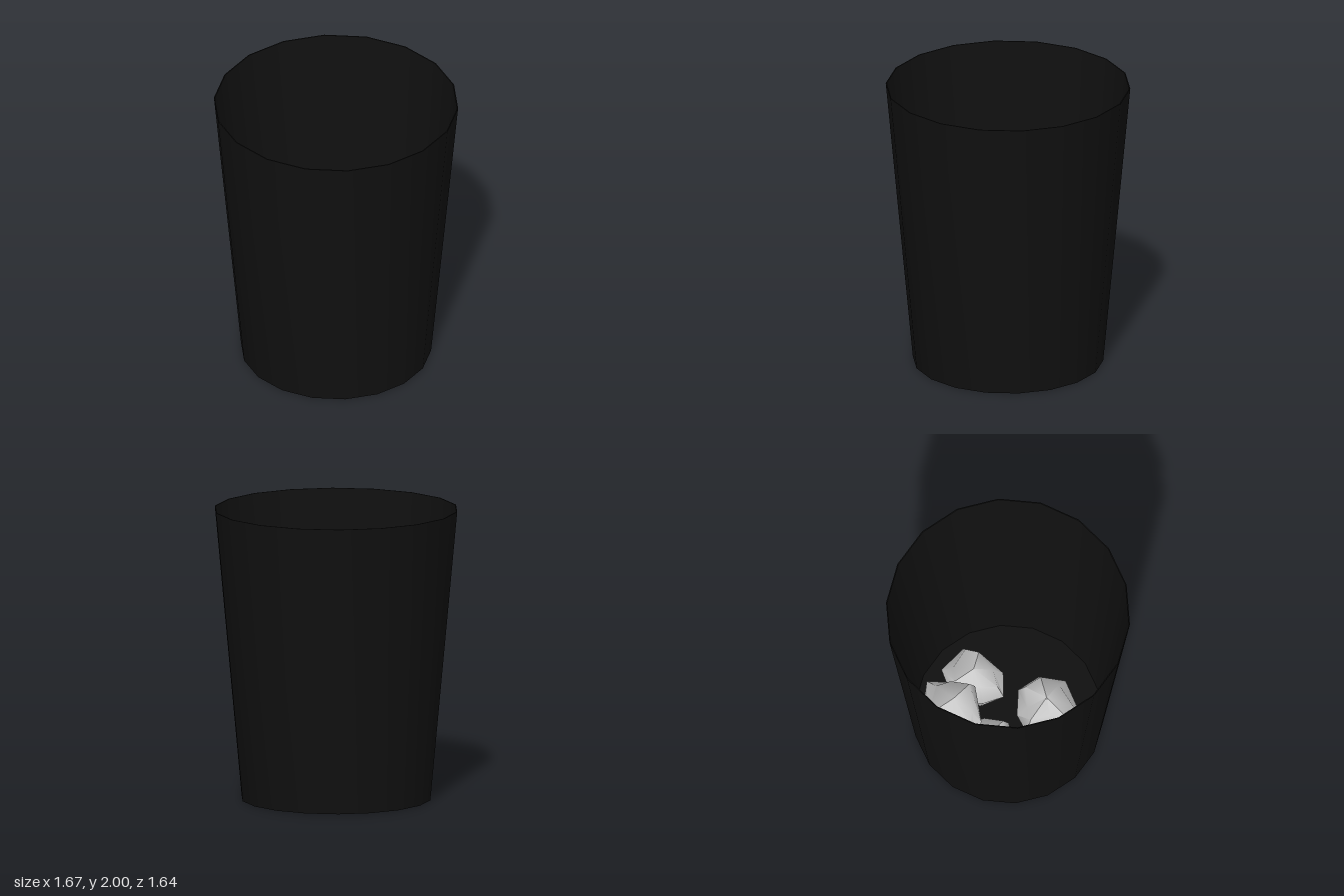
import * as THREE from 'three';
import { toCreasedNormals } from 'three/addons/utils/BufferGeometryUtils.js';

const binBlack = new THREE.MeshStandardMaterial({ color: 0x101010 });
const paperGrey = new THREE.MeshStandardMaterial({ color: 0xcccccc });

// Crumpled lump: stacked, slightly uneven copies of a plan outline [x, z], closed by two tips
function createPaperBall(outline, y) {
  const n = outline.length;
  const cx = outline.reduce((s, p) => s + p[0], 0) / n;
  const cz = outline.reduce((s, p) => s + p[1], 0) / n;
  const rings = [[-0.17, 0.62], [0, 1], [0.14, 0.72]]; // height, scale
  const pos = [0, -0.23, 0];
  rings.forEach(([h, s], r) => outline.forEach(([x, z], i) => {
    const dent = r === 1 ? 1 : 1 + 0.1 * Math.sin(i * 2.4 + r);
    pos.push((x - cx) * s * dent, h + 0.04 * Math.sin(i * 1.9 + r), (z - cz) * s * dent);
  }));
  pos.push(0, 0.23, 0);

  const index = [];
  const at = (r, i) => 1 + r * n + (i % n);
  const top = 1 + rings.length * n;
  for (let i = 0; i < n; i++) {
    index.push(0, at(0, i), at(0, i + 1));
    for (let r = 0; r < rings.length - 1; r++) {
      const a = at(r, i + 1), b = at(r, i), c = at(r + 1, i), d = at(r + 1, i + 1);
      index.push(a, b, c, a, c, d);
    }
    index.push(top, at(2, i + 1), at(2, i));
  }
  const geo = new THREE.BufferGeometry();
  geo.setAttribute('position', new THREE.Float32BufferAttribute(pos, 3));
  geo.setIndex(index);
  const ball = new THREE.Mesh(toCreasedNormals(geo, 0.9), paperGrey);
  ball.position.set(cx, y, cz);
  return ball;
}

export function createModel() {
  const model = new THREE.Group();
  model.name = 'wasteBin';

  // Tapered 18-sided bin with a thin wall and floor
  const profile = [[0, 0], [0.65, 0], [0.835, 2], [0.828, 2], [0.637, 0.02], [0, 0.02]]
    .map(([r, y]) => new THREE.Vector2(r, y));
  const shell = new THREE.LatheGeometry(profile, 18, Math.PI / 2);
  const bin = new THREE.Mesh(toCreasedNormals(shell, 0.6), binBlack);
  bin.name = 'bin';
  model.add(bin);

  // Crumpled paper on the floor, one piece resting on another
  const cornerBall = [[-0.58, -0.32], [-0.28, -0.48], [-0.18, -0.36], [-0.12, -0.19],
    [-0.31, 0], [-0.4, 0], [-0.49, -0.14]];
  const balls = [
    [cornerBall, 0.5],
    [cornerBall.map(([x, z]) => [x - 0.01, z + 0.29]), 0.25],
    [[[-0.18, -0.36], [-0.08, -0.5], [0.14, -0.48], [0.17, -0.35], [0.14, -0.14],
      [0.02, -0.05], [-0.11, -0.13], [-0.19, -0.22]], 0.25],
    [[[-0.12, 0.24], [-0.05, 0.11], [0.12, 0], [0.26, 0.07], [0.34, 0.24],
      [0.22, 0.45], [0.08, 0.5], [0.01, 0.36]], 0.25],
  ];
  balls.forEach(([outline, y], i) => {
    const ball = createPaperBall(outline, y);
    ball.name = `paperBall${i + 1}`;
    model.add(ball);
  });
  return model;
}
